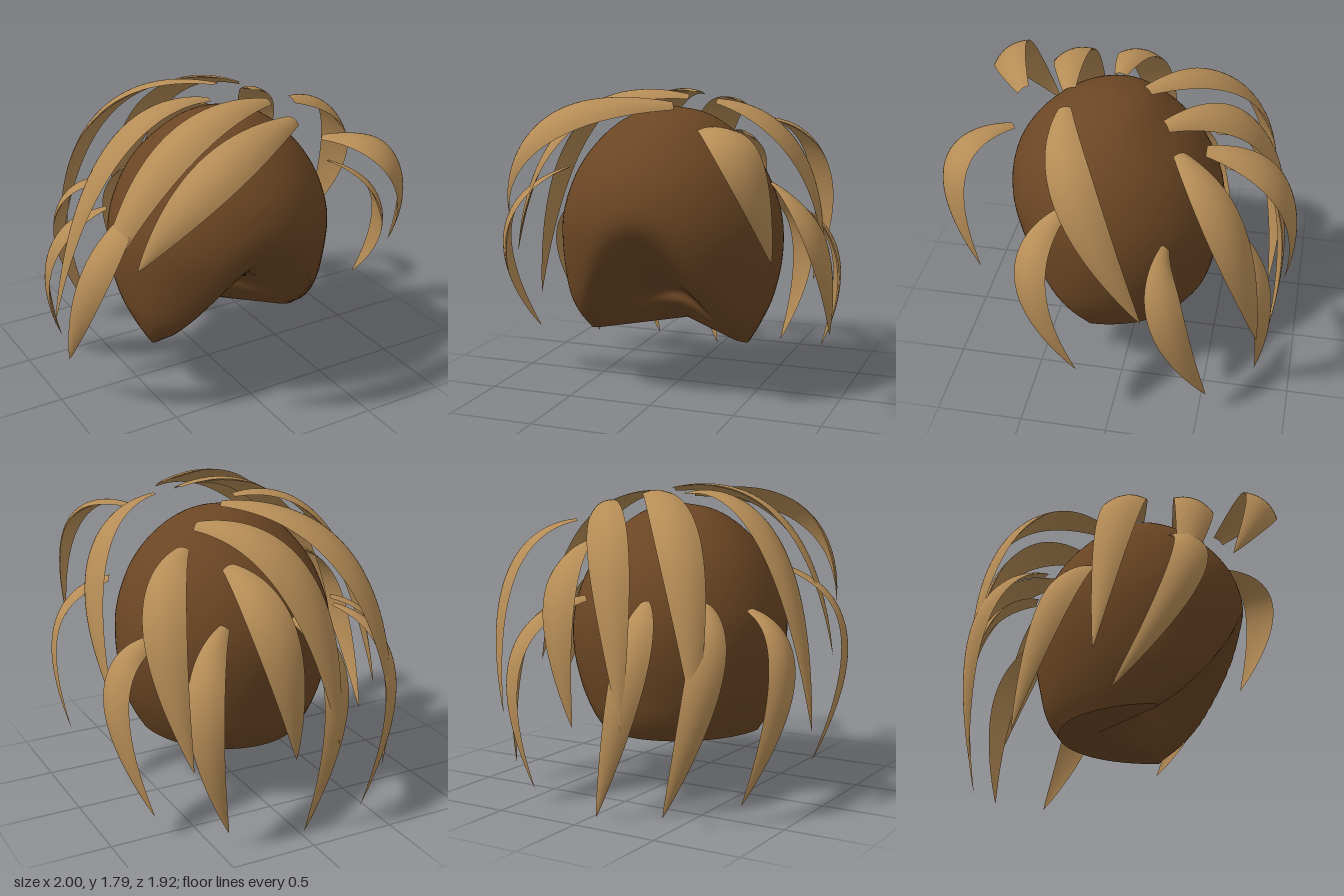
import * as THREE from 'three';

const capMaterial = new THREE.MeshStandardMaterial({ color: 0x6b4624, side: THREE.DoubleSide });
capMaterial.name = 'darkBrown';
const lockMaterial = new THREE.MeshStandardMaterial({ color: 0xb58c56 });
lockMaterial.name = 'lightBrown';

const V = (p) => new THREE.Vector3(...p);
const { lerp, smoothstep } = THREE.MathUtils;
const SIDES = 80;

function buildGeometry(positions, index) {
  const g = new THREE.BufferGeometry();
  g.setAttribute('position', new THREE.Float32BufferAttribute(positions, 3));
  g.setIndex(index);
  g.computeVertexNormals();
  return g;
}

// Rounded shell with a hollow for the face
function capGeometry() {
  // height, half width, front z, back z
  const rows = [
    [0.34, 0.49, 0.23, -0.37], [0.45, 0.55, 0.43, -0.44], [0.6, 0.61, 0.57, -0.48],
    [0.85, 0.65, 0.69, -0.52], [1.05, 0.64, 0.73, -0.51], [1.25, 0.575, 0.7, -0.44],
    [1.4, 0.49, 0.62, -0.34], [1.55, 0.35, 0.47, -0.18], [1.64, 0.2, 0.31, -0.05],
    [1.68, 0, 0.12, 0.12],
  ];
  const sides = new THREE.CatmullRomCurve3(rows.map(([y, w, f]) => V([w, y, f])));
  const backs = new THREE.CatmullRomCurve3(rows.map(([y, w, , b]) => V([w, y, b])));
  const R = 40, S = SIDES, pos = [], idx = [];
  for (let i = 0; i < R; i++) {
    const a = sides.getPoint(i / R), b = backs.getPoint(i / R);
    const zc = lerp(0.19, 0.12, smoothstep(a.y, 0.34, 0.8));
    const power = lerp(0.65, 1, smoothstep(a.y, 0.34, 0.95));
    const depth = 0.38 * (1 - smoothstep(a.y, 0.48, 1.14)) * lerp(0.5, 1, smoothstep(a.y, 0.34, 0.5));
    const reach = lerp(0.5, 0.25, smoothstep(a.y, 0.34, 1.1));
    const lift = 0.13 * (1 - smoothstep(a.y, 0.34, 0.8));
    for (let j = 0; j < S; j++) {
      const f = (j / S) * Math.PI * 2, s = Math.sin(f);
      const x = a.x * Math.cos(f);
      let y = a.y;
      let z = zc + (s > 0 ? (a.z - zc) * s ** power : (b.z - zc) * -s);
      if (s > 0) {
        const k = Math.cos((Math.PI / 2) * Math.min(1, Math.abs(x) / reach)) ** 2;
        z -= depth * k;
        y += lift * k;
      }
      pos.push(x, y, z);
    }
  }
  pos.push(0, 1.68, 0.12);
  const at = (i, j) => (i === R ? R * S : i * S + (j % S));
  for (let i = 0; i < R; i++) for (let j = 0; j < S; j++) {
    idx.push(at(i, j), at(i + 1, j), at(i, j + 1));
    if (i < R - 1) idx.push(at(i, j + 1), at(i + 1, j), at(i + 1, j + 1));
  }
  return buildGeometry(pos, idx);
}

// Underside: a fan closing the lowest ring of the shell
function undersideGeometry(cap) {
  const pos = [...cap.attributes.position.array.slice(0, SIDES * 3), 0, 0.36, -0.15];
  const idx = [];
  for (let j = 0; j < SIDES; j++) idx.push(SIDES, j, (j + 1) % SIDES);
  return buildGeometry(pos, idx);
}

// Blade on an arc through root, middle and tip: blunt root, wide middle, pointed tip
function lockGeometry(root, middle, tip, halfWidth) {
  const r = V(root), e = V(tip);
  const control = V(middle).multiplyScalar(2).addScaledVector(r, -0.5).addScaledVector(e, -0.5);
  const curve = new THREE.QuadraticBezierCurve3(r, control, e);
  const centre = V([0, 0.85, 0.1]);
  const N = 32, M = 10, pos = [], idx = [];
  for (const inner of [0, 1]) {
    const base = pos.length / 3;
    for (let i = 0; i <= N; i++) {
      const t = i / N, p = curve.getPoint(t), tan = curve.getTangent(t);
      const out = p.clone().sub(centre);
      out.addScaledVector(tan, -out.dot(tan)).normalize();
      const side = tan.clone().cross(out);
      const w = halfWidth * Math.max(0, Math.sin(Math.PI * (0.08 + 0.92 * t))) ** 0.85;
      const thick = 0.22 * w * Math.min(1, t * 12);
      for (let j = 0; j <= M; j++) {
        const u = (j / M) * 2 - 1;
        const h = (1 - u * u) * (0.3 * w - inner * thick);
        const q = p.clone().addScaledVector(side, u * w).addScaledVector(out, h);
        pos.push(q.x, q.y, q.z);
      }
    }
    for (let i = 0; i < N; i++) for (let j = 0; j < M; j++) {
      const a = base + i * (M + 1) + j, b = a + 1, c = a + M + 1, d = c + 1;
      if (inner) idx.push(a, c, b, b, c, d);
      else idx.push(a, b, c, b, d, c);
    }
  }
  return buildGeometry(pos, idx);
}

// Each lock: name, root, middle, tip
const upperLocks = [
  ['upperRightLock', [-0.06, 1.73, 0.1], [-0.64, 1.46, 0.02], [-0.97, 0.45, -0.1]],
  ['upperFrontRightLock', [0.18, 1.75, 0.34], [-0.49, 1.57, 0.44], [-0.9, 0.8, 0.34]],
  ['foreheadRightLock', [0.18, 1.72, 0.6], [-0.45, 1.59, 0.83], [-0.79, 1.08, 0.64]],
  ['foreheadLeftLock', [0.36, 1.6, 0.62], [0.64, 1.47, 0.87], [0.77, 0.93, 0.73]],
  ['upperLeftLock', [0.34, 1.73, 0.33], [0.76, 1.42, 0.18], [0.83, 0.7, -0.17]],
  ['upperBackRightLock', [0.1, 1.74, -0.08], [-0.4, 1.47, -0.58], [-0.62, 0.58, -0.79]],
  ['upperBackLock', [0.33, 1.67, -0.22], [-0.03, 1.42, -0.7], [-0.22, 0.52, -0.88]],
  ['middleBackLock', [0.24, 1.48, -0.43], [0.18, 1.2, -0.86], [0.07, 0.5, -0.91]],
  ['upperBackLeftLock', [0.45, 1.58, -0.31], [0.7, 1.26, -0.61], [0.63, 0.5, -0.8]],
];
const lowerLocks = [
  ['lowerFrontRightLock', [-0.57, 1.32, 0.29], [-0.93, 0.94, 0.39], [-0.93, 0.25, -0.01]],
  ['lowerRightLock', [-0.6, 1.1, -0.13], [-0.88, 0.78, -0.3], [-0.76, 0.1, -0.53]],
  ['lowerBackRightLock', [-0.46, 1.15, -0.4], [-0.64, 0.81, -0.73], [-0.43, 0.05, -0.8]],
  ['lowerBackLock', [-0.13, 1.15, -0.5], [-0.23, 0.8, -0.82], [-0.03, 0, -0.84]],
  ['lowerBackLeftLock', [0.28, 1.15, -0.47], [0.55, 0.81, -0.78], [0.42, 0.08, -0.79]],
  ['lowerLeftLock', [0.61, 1.07, -0.27], [0.87, 0.77, -0.32], [0.75, 0.14, -0.54]],
  ['lowerFrontLeftLock', [0.65, 1.28, 0.28], [0.93, 0.98, 0.41], [0.96, 0.42, 0.17]],
];

export function createModel() {
  const model = new THREE.Group();
  model.name = 'hair';
  const add = (name, geometry, material) => {
    const mesh = new THREE.Mesh(geometry, material);
    mesh.name = name;
    model.add(mesh);
  };
  const cap = capGeometry();
  add('hairCap', cap, capMaterial);
  add('capUnderside', undersideGeometry(cap), capMaterial);
  for (const [name, ...path] of upperLocks) add(name, lockGeometry(...path, 0.122), lockMaterial);
  for (const [name, ...path] of lowerLocks) add(name, lockGeometry(...path, 0.1), lockMaterial);
  return model;
}
